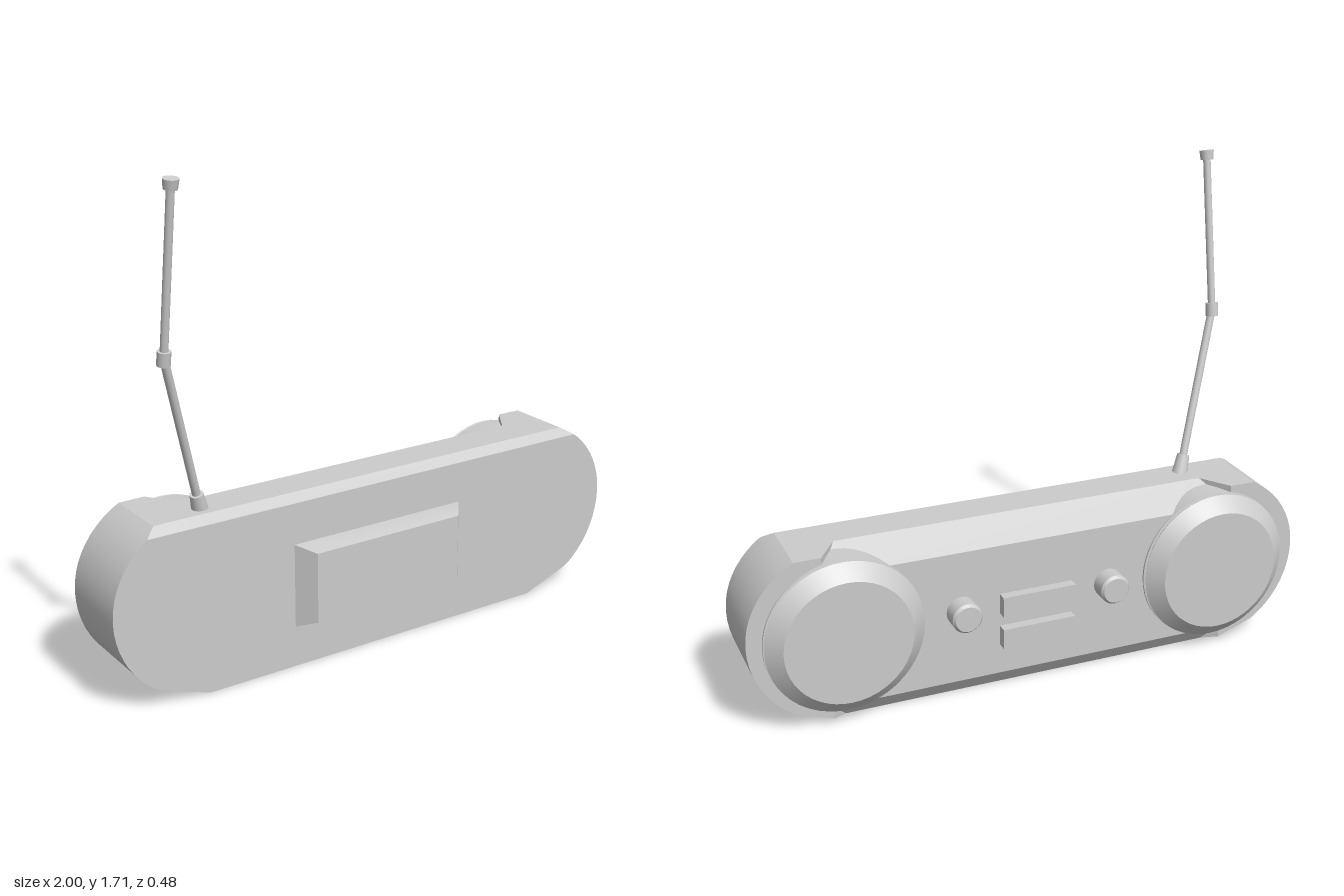
import * as THREE from 'three';
import { toCreasedNormals } from 'three/addons/utils/BufferGeometryUtils.js';

const material = new THREE.MeshStandardMaterial({ color: 0xcccccc });
const V = (x, y, z) => new THREE.Vector3(x, y, z);

function add(parent, name, geometry, x = 0, y = 0, z = 0) {
  const mesh = new THREE.Mesh(geometry, material);
  mesh.name = name;
  mesh.position.set(x, y, z);
  parent.add(mesh);
  return mesh;
}

// Skin closed cross-sections (equal point counts), skipping collapsed triangles.
// Corners run clockwise when seen from the side of the last section.
function loft(sections) {
  const pos = [];
  const tri = (a, b, c) => {
    const area = b.clone().sub(a).cross(c.clone().sub(a)).length();
    if (area > 1e-8) for (const p of [a, b, c]) pos.push(p.x, p.y, p.z);
  };
  for (let i = 0; i < sections.length - 1; i++) {
    const s = sections[i], t = sections[i + 1], n = s.length;
    for (let j = 0; j < n; j++) {
      const k = (j + 1) % n;
      tri(s[j], t[j], t[k]);
      tri(s[j], t[k], s[k]);
    }
  }
  const g = new THREE.BufferGeometry();
  g.setAttribute('position', new THREE.Float32BufferAttribute(pos, 3));
  return toCreasedNormals(g, 0.35);
}

// Body slice at x: rounded ends, front top chamfer, sloped notches at the back
function bodySection(x) {
  const d = Math.max(0, Math.abs(x) - 0.67);
  const h = Math.sqrt(Math.max(0, 0.33 ** 2 - d * d));
  const top = Math.min(0.61, 0.34 + h * 0.935);
  const bottom = d > 0 ? Math.max(0.34 - h, d * 0.36) : 0;
  const front = 0.1, back = -0.175;
  const chamferZ = Math.min(front, 0.065 + (0.61 - top) * 1.4);
  const tTop = Math.min(1, d / 0.07), tLow = Math.min(1, d / 0.05);
  const zTop = THREE.MathUtils.lerp(-0.07, back, tTop);
  const zLow = THREE.MathUtils.lerp(-0.13, back, tLow);
  return [
    [front, bottom], [front, Math.min(top, 0.585)], [chamferZ, top],
    [zTop, top], [zTop, Math.min(top, 0.61 - 0.07 * tTop)], [back, Math.min(top, 0.54)],
    [back, Math.max(bottom, 0.06)], [zLow, Math.max(bottom, 0.06 * tLow)], [zLow, bottom],
  ].map(([z, y]) => V(x, y, z));
}

// Lathe whose axis points to the back; profile is [radius, distance behind z = 0]
function backLathe(profile, segments) {
  const g = new THREE.LatheGeometry(profile.map(([r, a]) => new THREE.Vector2(r, a)), segments);
  return toCreasedNormals(g.rotateX(-Math.PI / 2), 0.4);
}

// Cylinder from a to b
function rod(parent, name, a, b, r0, r1 = r0) {
  const dir = b.clone().sub(a);
  const mid = a.clone().add(b).multiplyScalar(0.5);
  const mesh = add(parent, name, new THREE.CylinderGeometry(r1, r0, dir.length(), 16), mid.x, mid.y, mid.z);
  mesh.quaternion.setFromUnitVectors(V(0, 1, 0), dir.normalize());
}

export function createModel() {
  const model = new THREE.Group();
  model.name = 'portableRadio';

  // Body
  const half = [0.67, 0.72, 0.74, 0.79, 0.831, 0.85, 0.871, 0.89, 0.912, 0.935, 0.955, 0.97, 0.983, 0.992, 0.998, 1];
  const xs = [...half.map((x) => -x).reverse(), ...half];
  add(model, 'body', loft(xs.map(bodySection)));

  // Raised tapered panel on the front
  const panel = [[0.34, 0.145, 0.44, 0.09], [0.34, 0.145, 0.44, 0.1], [0.29, 0.17, 0.418, 0.162], [0, 0.294, 0.294, 0.162]]
    .map(([w, lo, hi, z]) => [V(-w, lo, z), V(-w, hi, z), V(w, hi, z), V(w, lo, z)]);
  add(model, 'frontPanel', loft(panel));

  // Speakers and knobs, mirrored
  const speaker = backLathe([[0.272, 0.06], [0.272, 0.182], [0.264, 0.184], [0.27, 0.194],
    [0.218, 0.24], [0, 0.24]], 48);
  const knob = backLathe([[0.053, 0.17], [0.053, 0.232], [0.045, 0.242], [0, 0.242]], 24);
  for (const [side, s] of [['left', 1], ['right', -1]]) {
    add(model, side + 'Speaker', speaker, s * 0.676, 0.322, 0);
    add(model, side + 'Knob', knob, s * 0.27, 0.325, 0);
  }

  // Display bars between the knobs
  for (const [name, y] of [['upperBar', 0.325], ['lowerBar', 0.205]]) {
    add(model, name, new THREE.BoxGeometry(0.265, 0.072, 0.05), 0, y, -0.185);
  }

  // Bent antenna with collars
  const antenna = new THREE.Group();
  antenna.name = 'antenna';
  model.add(antenna);
  const base = V(-0.636, 0.595, 0.012), elbow = V(-0.803, 1.16, 0.127), tip = V(-0.803, 1.71, 0.215);
  const lower = elbow.clone().sub(base).normalize(), upper = tip.clone().sub(elbow).normalize();
  const along = (p, dir, d) => p.clone().addScaledVector(dir, d);
  rod(antenna, 'antennaBase', base, along(base, lower, 0.075), 0.029, 0.022);
  rod(antenna, 'lowerRod', base, elbow, 0.014);
  rod(antenna, 'elbowCollar', along(elbow, upper, -0.022), along(elbow, upper, 0.024), 0.022);
  rod(antenna, 'upperRod', elbow, tip, 0.013);
  rod(antenna, 'tipCap', along(tip, upper, -0.032), tip, 0.022, 0.025);

  return model;
}
